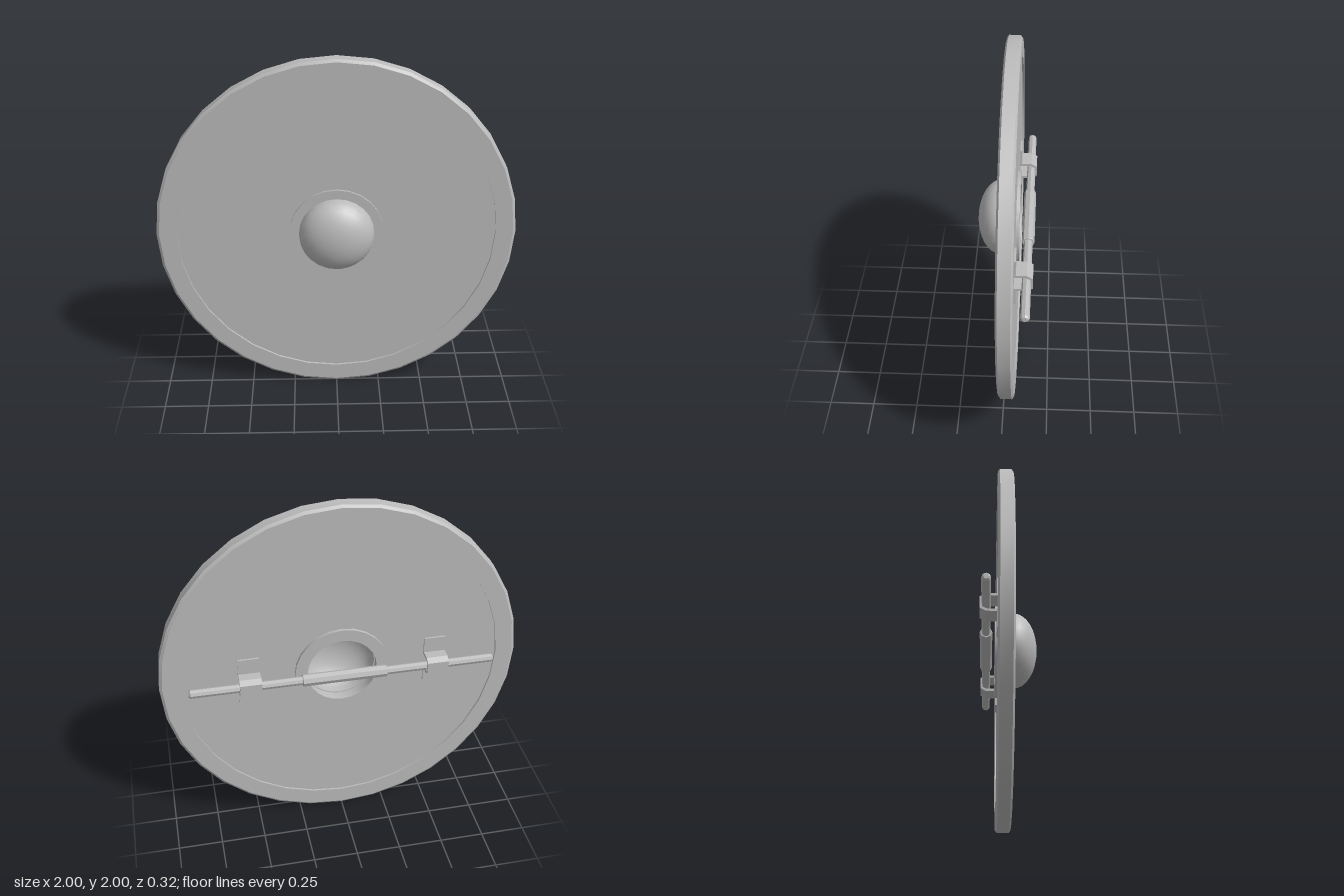
import * as THREE from 'three';
import { toCreasedNormals } from 'three/addons/utils/BufferGeometryUtils.js';

const grey = new THREE.MeshStandardMaterial({ color: 0xbcbcbc });
grey.name = 'plain grey';

function addPart(parent, name, geometry, x = 0, y = 0, z = 0) {
  const mesh = new THREE.Mesh(geometry, grey);
  mesh.name = name;
  mesh.position.set(x, y, z);
  parent.add(mesh);
  return mesh;
}

// Closed counterclockwise profile of [radius, z], turned about the z axis
function turned(profile, sides) {
  const points = [...profile, profile[0]].map(([r, z]) => new THREE.Vector2(r, z));
  const geometry = new THREE.LatheGeometry(points, sides).rotateX(Math.PI / 2);
  return toCreasedNormals(geometry, 0.45);
}

// Rod along x with chamfered ends
function rod(length, radius, chamfer, sides) {
  const h = length / 2;
  const points = [[0, -h], [radius - chamfer, -h], [radius, -h + chamfer],
    [radius, h - chamfer], [radius - chamfer, h], [0, h]].map(([r, y]) => new THREE.Vector2(r, y));
  const geometry = new THREE.LatheGeometry(points, sides).rotateZ(-Math.PI / 2);
  return toCreasedNormals(geometry, 0.45);
}

// Strap arching over the bar: outline in (z, y), extruded along x
function strapGeometry(width) {
  const half = [[-0.055, 0.05], [-0.125, 0.05], [-0.157, 0.032]];
  const inner = [[-0.145, 0.024], [-0.12, 0.036], [-0.055, 0.036]];
  const outline = [
    ...half, ...half.map(([z, y]) => [z, -y]).reverse(),
    ...inner.map(([z, y]) => [z, -y]).reverse(), ...inner,
  ];
  const shape = new THREE.Shape(outline.map(([z, y]) => new THREE.Vector2(-z, y)));
  return new THREE.ExtrudeGeometry(shape, { depth: width, bevelEnabled: false })
    .translate(0, 0, -width / 2)
    .rotateY(Math.PI / 2);
}

export function createModel() {
  const shield = new THREE.Group();
  shield.name = 'roundShield';
  const body = new THREE.Group();
  body.name = 'shieldBody';
  body.position.y = 1;
  shield.add(body);

  // Board with a round opening behind the boss
  addPart(body, 'board', turned([[0.2, -0.058], [0.93, -0.058], [0.93, 0.004], [0.2, 0.004]], 32));

  // Raised rim with slightly rounded outer edges
  addPart(body, 'rim', turned([
    [0.888, -0.068], [0.985, -0.068], [1.0, -0.058],
    [1.0, 0.006], [0.985, 0.016], [0.888, 0.016],
  ], 32));

  // Hollow domed boss with its front flange
  const outer = [], inner = [];
  for (let i = 0; i <= 8; i++) {
    const a = (i / 8) * Math.PI / 2;
    outer.push([0.21 * Math.cos(a), 0.03 + 0.128 * Math.sin(a)]);
    inner.unshift([0.195 * Math.cos(a), 0.03 + 0.115 * Math.sin(a)]);
  }
  addPart(body, 'boss', turned([
    [0.195, -0.01], [0.263, -0.01], [0.263, 0.016], [0.21, 0.016], ...outer, ...inner,
  ], 24));

  // Flange around the opening at the back
  addPart(body, 'backFlange', turned([
    [0.195, -0.076], [0.263, -0.076], [0.263, -0.04], [0.195, -0.04],
  ], 24));

  // Handle bar and thicker hand grip
  addPart(body, 'handleBar', rod(1.7, 0.024, 0.01, 8), 0, 0, -0.124);
  addPart(body, 'handGrip', rod(0.47, 0.034, 0.003, 8), -0.003, 0, -0.124);

  // Brackets holding the bar, each a plate and a strap
  for (const [name, x] of [['leftBracket', 0.515], ['rightBracket', -0.525]]) {
    const bracket = new THREE.Group();
    bracket.name = name;
    bracket.position.x = x;
    body.add(bracket);
    addPart(bracket, 'strap', strapGeometry(0.12));
    for (const side of [-1, 1]) {
      addPart(bracket, 'foot', new THREE.BoxGeometry(0.12, 0.1, 0.014), 0, side * 0.09, -0.062);
    }
  }
  return shield;
}
